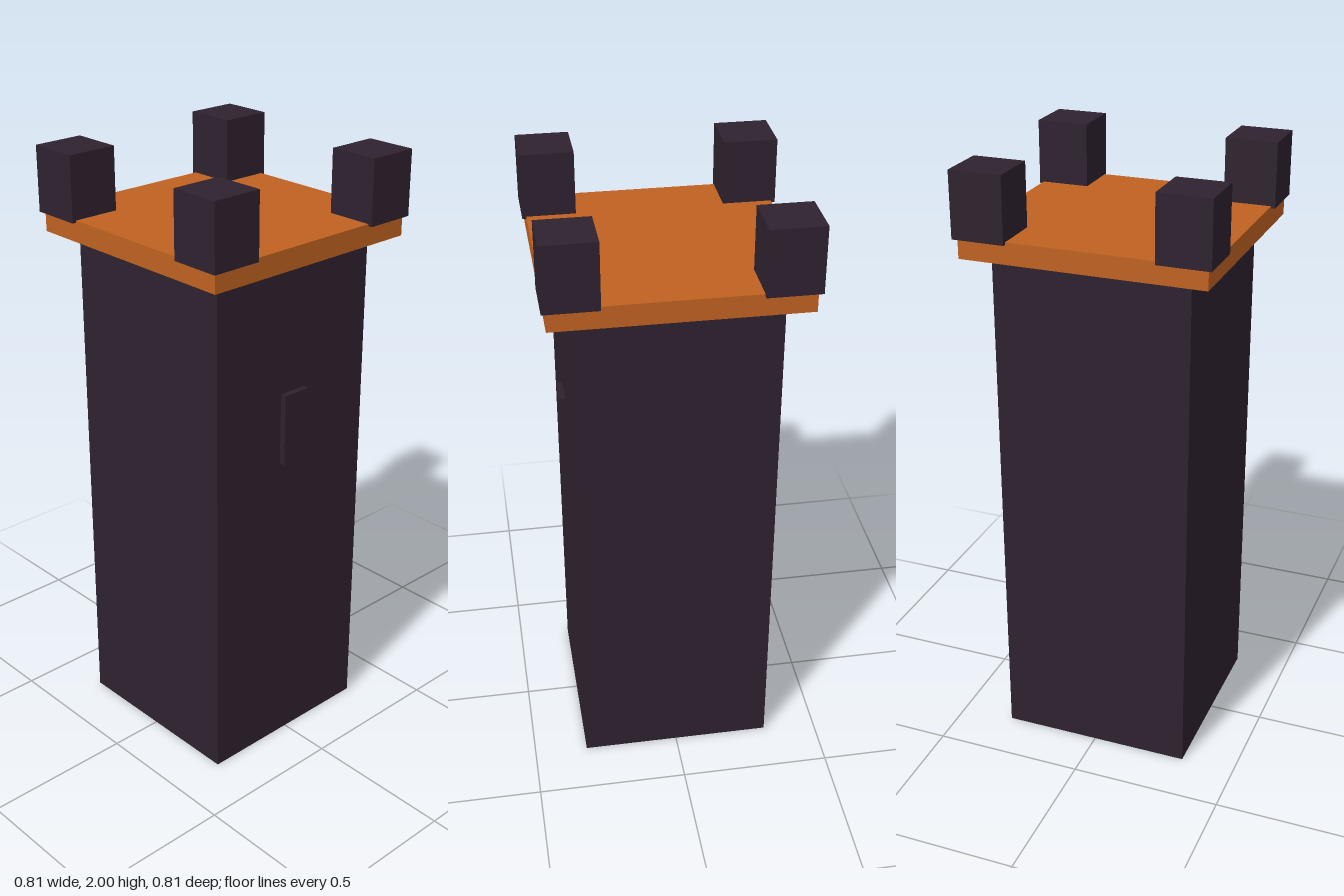
import * as THREE from 'three';

export function createModel() {
  const model = new THREE.Group();
  model.name = 'tower';

  const darkStone = new THREE.MeshStandardMaterial({ color: 0x2e222f });
  darkStone.name = 'dark stone';
  const orangeTrim = new THREE.MeshStandardMaterial({ color: 0xc06221 });
  orangeTrim.name = 'orange trim';

  // Box standing on a given base height
  const addBox = (name, material, [w, h, d], [x, base, z]) => {
    const mesh = new THREE.Mesh(new THREE.BoxGeometry(w, h, d), material);
    mesh.name = name;
    mesh.position.set(x, base + h / 2, z);
    model.add(mesh);
  };

  // Shaft and the overhanging platform on top
  addBox('shaft', darkStone, [0.64, 1.725, 0.64], [0, 0, 0]);
  addBox('platform', orangeTrim, [0.788, 0.07, 0.788], [0, 1.725, 0]);

  // Raised window slab on the front
  addBox('window', darkStone, [0.1, 0.24, 0.04], [0, 1.05, 0.32]);

  // Corner battlements, slightly overhanging the platform
  for (const x of [-1, 1]) {
    for (const z of [-1, 1]) {
      const name = `${z > 0 ? 'front' : 'back'}${x > 0 ? 'Left' : 'Right'}Battlement`;
      addBox(name, darkStone, [0.17, 0.212, 0.17], [x * 0.322, 1.788, z * 0.322]);
    }
  }

  return model;
}
